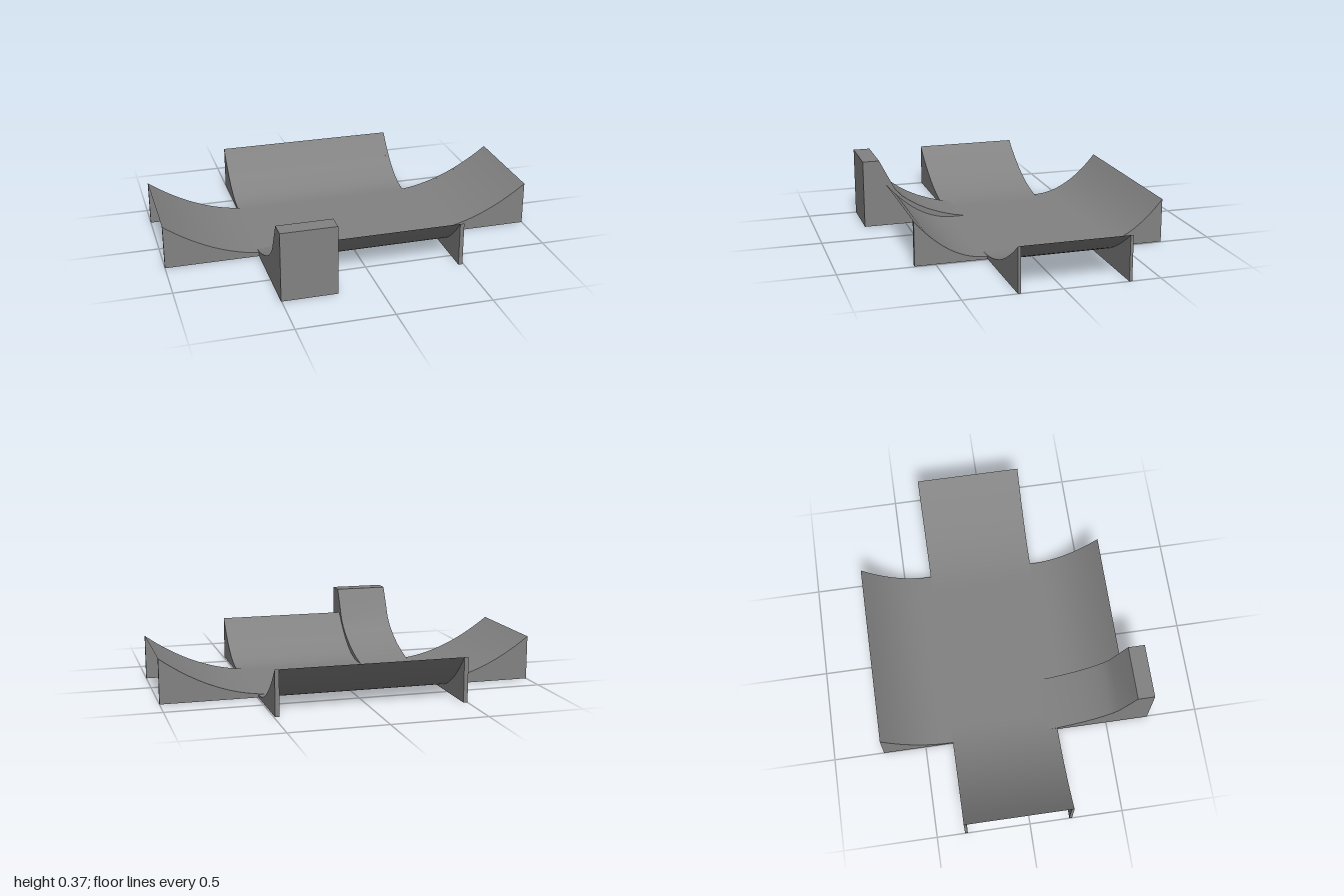
import * as THREE from 'three';
import { toCreasedNormals } from 'three/addons/utils/BufferGeometryUtils.js';

const material = new THREE.MeshStandardMaterial({ color: 0x828282, side: THREE.DoubleSide });
const FLOOR = 0.015, LIP = 0.235;
const SIDE_WALL = 0.015, END_WALL = 0.022; // support thicknesses
const MID_Z = -0.061, Z_FRONT = 0.608, Z_BACK = -0.73; // bowl centre and ends
const SIDE_FRONT = 0.228, SIDE_BACK = -0.35; // edges of the side arms
const X_RIGHT = -0.5, X_LEFT = 0.494; // edges of the front and back arms

// height of a transition at distance d, curving up from start to end
const rise = (d, start, end, power) =>
  FLOOR + (LIP - FLOOR) * Math.max(0, (d - start) / (end - start)) ** power;
const sideRise = (x) => rise(Math.abs(x), 0.41, 1, 2);
const endRise = (z) => rise(Math.abs(z - MID_Z), 0.289, 0.669, 2.1);

export function createModel() {
  const group = new THREE.Group();
  const add = (name, geometry) => {
    const mesh = new THREE.Mesh(geometry, material);
    mesh.name = name;
    group.add(mesh);
    return mesh;
  };

  // curved sheet over a rectangle of the ground plan
  const sheet = (name, x0, x1, z0, z1, nx, nz, height) => {
    const geo = new THREE.PlaneGeometry(x1 - x0, z1 - z0, nx, nz);
    geo.rotateX(-Math.PI / 2);
    geo.translate((x0 + x1) / 2, 0, (z0 + z1) / 2);
    const p = geo.attributes.position;
    for (let i = 0; i < p.count; i++) p.setY(i, height(p.getX(i), p.getZ(i)));
    geo.computeVertexNormals();
    add(name, geo);
  };
  sheet('floorAndSideRamps', -1, 1, SIDE_BACK, SIDE_FRONT, 60, 1, (x) => sideRise(x));
  sheet('backRamp', X_RIGHT, X_LEFT, Z_BACK, SIDE_BACK, 1, 20, (x, z) => endRise(z));
  sheet('frontRamp', -0.212, X_LEFT, SIDE_FRONT, Z_FRONT, 1, 20, (x, z) => endRise(z));

  // closed outline below a height curve, from a to b
  const outline = (a, b, height) => {
    const shape = new THREE.Shape();
    shape.moveTo(a, 0);
    for (let i = 0; i <= 20; i++) {
      const t = a + (b - a) * i / 20;
      shape.lineTo(t, height(t));
    }
    shape.lineTo(b, 0);
    shape.closePath();
    return shape;
  };
  const slab = (shape, depth) => new THREE.ExtrudeGeometry(shape, { depth, bevelEnabled: false });

  // supports below the side ramps
  for (const [a, b] of [[-1, X_RIGHT], [X_LEFT - END_WALL, 1]]) {
    for (const z of [SIDE_BACK, SIDE_FRONT - SIDE_WALL]) {
      add('sideRampSupport', slab(outline(a, b, sideRise), SIDE_WALL)).position.z = z;
    }
  }

  // supports below the front and back ramps; shape x runs along -z
  const endSupport = (name, z0, z1, x) => {
    const geo = slab(outline(-z1, -z0, (t) => endRise(-t)), END_WALL);
    geo.rotateY(Math.PI / 2);
    add(name, geo).position.x = x;
  };
  endSupport('backRampSupport', Z_BACK, SIDE_BACK + SIDE_WALL, X_RIGHT);
  endSupport('backRampSupport', Z_BACK, SIDE_BACK + SIDE_WALL, X_LEFT - END_WALL);
  endSupport('frontRampSupport', SIDE_FRONT - SIDE_WALL, Z_FRONT, X_LEFT - END_WALL);

  // tall quarter ramp, an open-bottomed shell; profile as [z, y]
  const profile = [
    [0.17, 0.017], [0.23, 0.028], [0.3, 0.048], [0.37, 0.074], [0.43, 0.103],
    [0.48, 0.134], [0.52, 0.164], [0.555, 0.202], [0.64, 0.37], [0.73, 0.37], [0.73, 0],
  ];
  const x0 = X_RIGHT - 0.003, x1 = -0.212;
  const positions = [], index = [];
  profile.forEach(([z, y], i) => {
    positions.push(x0, y, z, x1, y, z);
    if (i) {
      const k = 2 * i;
      index.push(k - 2, k, k - 1, k - 1, k, k + 1);
    }
  });
  const top = new THREE.BufferGeometry();
  top.setAttribute('position', new THREE.Float32BufferAttribute(positions, 3));
  top.setIndex(index);
  add('tallRampSurface', toCreasedNormals(top, 0.5));

  const sideShape = new THREE.Shape();
  sideShape.moveTo(-0.17, 0);
  for (const [z, y] of profile) sideShape.lineTo(-z, y);
  sideShape.closePath();
  for (const x of [x0, x1]) {
    const side = new THREE.ShapeGeometry(sideShape);
    side.rotateY(Math.PI / 2);
    add('tallRampSide', side).position.x = x;
  }
  return group;
}
